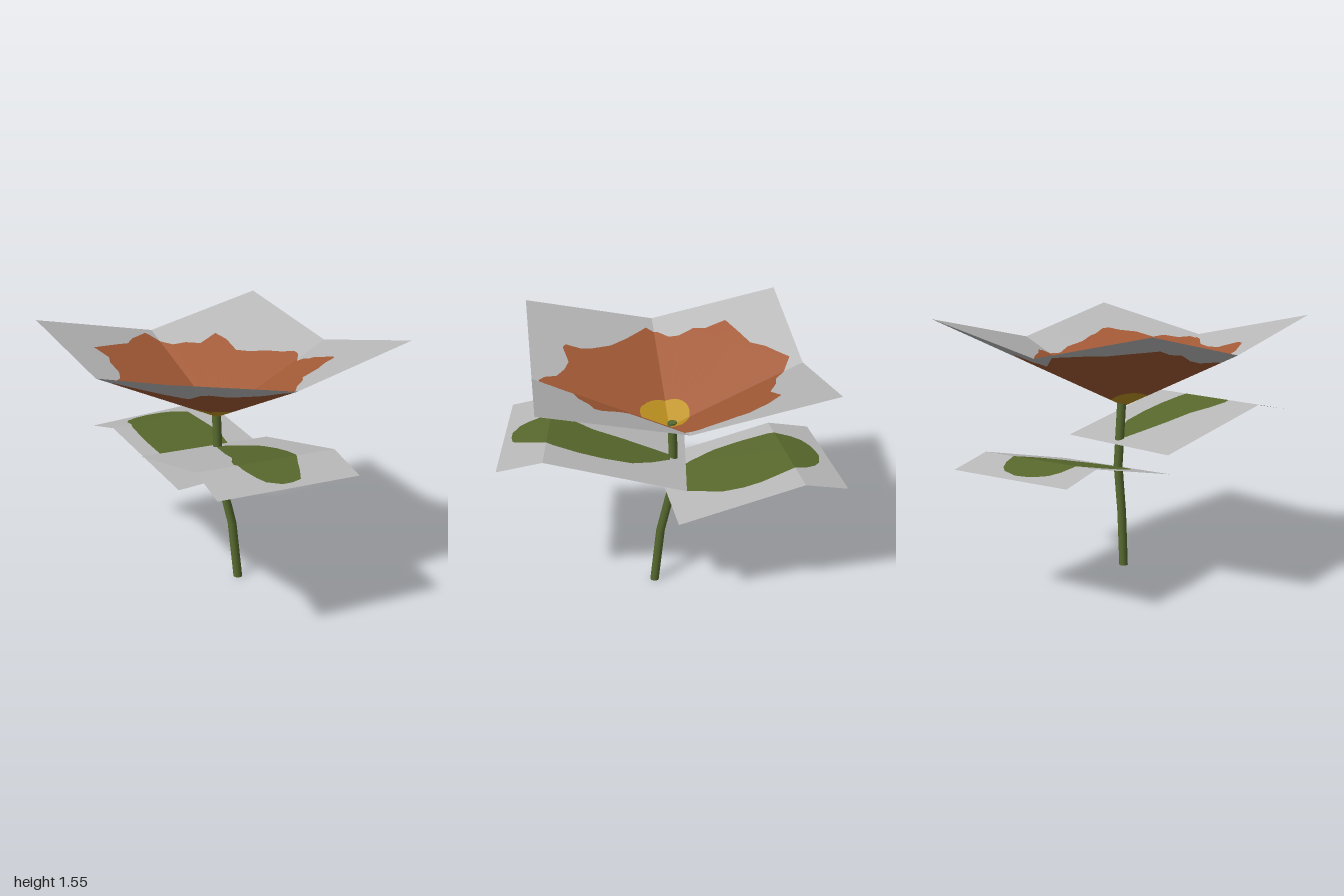
import * as THREE from 'three';

const material = (name, color, side = THREE.DoubleSide) => {
  const m = new THREE.MeshStandardMaterial({ color, side });
  m.name = name;
  return m;
};

// Turn a flat list of coordinates into [x, y] pairs
const pairs = (list) => list.reduce((out, v, i) => (i % 2 ? out[out.length - 1].push(v) : out.push([v]), out), []);
const rect = (x0, y0, x1, y1) => [[x0, y0], [x1, y0], [x1, y1], [x0, y1]];

// Distance from the origin to a star-shaped outline along an angle
function reach(outline, angle) {
  const c = Math.cos(angle), s = Math.sin(angle);
  let best = 0;
  outline.forEach(([ax, ay], i) => {
    const [bx, by] = outline[(i + 1) % outline.length];
    const ex = bx - ax, ey = by - ay;
    const det = c * ey - s * ex;
    if (Math.abs(det) < 1e-9) return;
    const r = (ax * ey - ay * ex) / det;
    const k = (ax * s - ay * c) / det;
    if (r > 0 && k > -1e-6 && k < 1 + 1e-6) best = Math.max(best, r);
  });
  return best;
}

// Every angle at which one of the outlines has a corner, plus the four axes
function cornerAngles(outlines) {
  const all = [0, 1, 2, 3].map((i) => (i * Math.PI) / 2);
  outlines.flat().forEach(([x, y]) => all.push((Math.atan2(y, x) + 2 * Math.PI) % (2 * Math.PI)));
  all.sort((a, b) => a - b);
  return all.filter((a, i) => i === 0 || a - all[i - 1] > 1e-5);
}

// A band of surface between two radius functions, laid onto a folded sheet by place(x, y)
function band(angles, inner, outer, place, normalAt) {
  const pos = [], nor = [];
  const ab = new THREE.Vector3(), ac = new THREE.Vector3();
  const tri = (pts) => {
    let [a, b, c] = pts.map(([x, y]) => place(x, y));
    ab.subVectors(b, a);
    ac.subVectors(c, a);
    let n = ab.clone().cross(ac);
    if (n.length() < 1e-9) return;
    if (n.y < 0) { [b, c] = [c, b]; n.negate(); }
    if (normalAt) n = normalAt((pts[0][0] + pts[1][0] + pts[2][0]) / 3, (pts[0][1] + pts[1][1] + pts[2][1]) / 3);
    n.normalize();
    for (const p of [a, b, c]) { pos.push(p.x, p.y, p.z); nor.push(n.x, n.y, n.z); }
  };
  angles.forEach((a0, i) => {
    const a1 = angles[(i + 1) % angles.length];
    const at = (f, a) => [Math.cos(a) * f(a), Math.sin(a) * f(a)];
    const p = at(inner, a0), q = at(outer, a0), r = at(outer, a1), s = at(inner, a1);
    tri([p, q, r]);
    tri([p, r, s]);
  });
  const g = new THREE.BufferGeometry();
  g.setAttribute('position', new THREE.Float32BufferAttribute(pos, 3));
  g.setAttribute('normal', new THREE.Float32BufferAttribute(nor, 3));
  return g;
}

const named = (name, geometry, mat) => {
  const m = new THREE.Mesh(geometry, mat);
  m.name = name;
  return m;
};

// Folded square bowl with a ragged blossom and a round centre
function makeFlower(mats) {
  const H = 0.781, cz = -0.0175, base = 1.028;
  const blossom = pairs([
    -0.08, -0.74, 0, -0.69, 0.06, -0.63, 0.14, -0.61, 0.22, -0.56, 0.35, -0.59, 0.385, -0.515, 0.39, -0.41,
    0.44, -0.32, 0.5, -0.25, 0.56, -0.15, 0.61, -0.09, 0.61, -0.05, 0.54, 0.03, 0.54, 0.1, 0.5, 0.2,
    0.49, 0.32, 0.51, 0.41, 0.49, 0.45, 0.41, 0.47, 0.32, 0.52, 0.2, 0.54, 0.16, 0.6, 0.08, 0.65,
    0.03, 0.71, -0.01, 0.725, -0.06, 0.69, -0.11, 0.62, -0.2, 0.57, -0.29, 0.54, -0.42, 0.565, -0.46, 0.545,
    -0.48, 0.4, -0.525, 0.27, -0.59, 0.17, -0.66, 0.08, -0.7, 0.03, -0.66, -0.04, -0.59, -0.1, -0.565, -0.16,
    -0.575, -0.25, -0.545, -0.32, -0.575, -0.45, -0.47, -0.49, -0.39, -0.52, -0.3, -0.55, -0.23, -0.63, -0.16, -0.68,
  ]).map(([x, z]) => [x, z - cz]);
  const centre = Array.from({ length: 28 }, (_, i) => {
    const a = (i / 28) * 2 * Math.PI;
    return [-0.04 + 0.136 * Math.cos(a), 0.02 + 0.147 * Math.sin(a)];
  });
  const fold = [[H, 0], [0, H], [-H, 0], [0, -H]];
  const square = rect(-H, -H, H, H);
  const angles = cornerAngles([blossom, centre, fold, square]);
  const [rb, rc, rf, rs] = [blossom, centre, fold, square].map((o) => (a) => reach(o, a));
  const low = (a) => Math.min(rb(a), rf(a)), high = (a) => Math.max(rb(a), rf(a));

  // Two opposite quarters fold across, the other two fold from the centre to the corner
  const near = 1.39 - base, far = 0.165;
  const place = (x, z) => {
    const a = Math.abs(x) / H, b = Math.abs(z) / H;
    const [big, small] = x * z > 0 ? [Math.min(a + b, 1), Math.max(a + b - 1, 0)] : [Math.max(a, b), Math.min(a, b)];
    return new THREE.Vector3(x, base + near * big + far * small, z + cz);
  };
  const slope = (near + far) / (2 * H);
  const normalAt = (x, z) => new THREE.Vector3(-slope * Math.sign(x), 1, -slope * Math.sign(z));
  const piece = (name, a, b, mat) => named(name, band(angles, a, b, place, normalAt), mat);

  const g = new THREE.Group();
  g.name = 'flower';
  g.add(
    piece('flowerCentre', () => 0, rc, mats.yellow),
    piece('petalsInner', rc, low, mats.orange),
    piece('petalsOuter', low, rb, mats.orange),
    piece('flowerSheetInner', rb, high, mats.grey),
    piece('flowerSheetOuter', high, rs, mats.grey),
  );
  return g;
}

// Rectangular sheet folded once across, with a green leaf shape on it.
// s runs along the outer edge, t from the outer edge towards the stem.
function makeLeaf(name, { corner, along, width, foldAt, length, heights, middle, shape }, mats) {
  const e = new THREE.Vector3(along[0], 0, along[1]).normalize();
  const p = new THREE.Vector3(-e.z, 0, e.x).multiplyScalar(Math.sign(-corner[1]));
  const place = (s, t) => {
    const u = s + middle, v = t + foldAt;
    const y = t < 0
      ? THREE.MathUtils.lerp(heights[0], heights[1], v / foldAt)
      : THREE.MathUtils.lerp(heights[1], heights[2], t / (length - foldAt));
    return new THREE.Vector3(corner[0], y, corner[1]).addScaledVector(e, u).addScaledVector(p, v);
  };
  const blade = pairs(shape).map(([s, t]) => [s - middle, t - foldAt]);
  const sheet = rect(-middle, -foldAt, width - middle, length - foldAt);
  const angles = cornerAngles([blade, sheet]);
  const rb = (a) => reach(blade, a), rs = (a) => reach(sheet, a);
  const g = new THREE.Group();
  g.name = name;
  g.add(
    named(name + 'Blade', band(angles, () => 0, rb, place), mats.leaf),
    named(name + 'Sheet', band(angles, rb, rs, place), mats.grey),
  );
  return g;
}

// Bent stem: a cylinder whose rings are moved along a path
function makeStem(mat) {
  const path = [[0.086, 0, 0.086], [0.068, 0.35, 0.045], [0.027, 0.67, -0.042], [0.005, 1.058, -0.035]];
  const geo = new THREE.CylinderGeometry(0.027, 0.027, 3, 12, 3);
  const pos = geo.attributes.position;
  for (let i = 0; i < pos.count; i++) {
    const [x, y, z] = path[Math.round(pos.getY(i) + 1.5)];
    pos.setXYZ(i, pos.getX(i) + x, y, pos.getZ(i) + z);
  }
  return named('stem', geo, mat);
}

export function createModel() {
  const mats = {
    grey: material('sheetGrey', 0xb8b8b8),
    orange: material('petalOrange', 0xa35a36),
    yellow: material('centreYellow', 0xbf9220),
    leaf: material('leafGreen', 0x57672c),
    stem: material('stemGreen', 0x576a2f, THREE.FrontSide),
  };
  const model = new THREE.Group();
  model.name = 'flowerPlant';
  model.add(
    makeStem(mats.stem),
    makeFlower(mats),
    makeLeaf('frontLeaf', {
      corner: [-0.575, 0.89], along: [0.825, 0.11], width: 0.832, foldAt: 0.265, length: 1.073,
      heights: [0.945, 1.005, 0.815], middle: 0.42,
      shape: [0.45, 0.045, 0.392, 0.045, 0.317, 0.084, 0.285, 0.135, 0.25, 0.22, 0.235, 0.3, 0.27, 0.4, 0.33, 0.52,
        0.37, 0.7, 0.42, 0.88, 0.45, 0.98, 0.51, 0.98, 0.58, 0.88, 0.64, 0.76, 0.65, 0.6, 0.64, 0.45, 0.61, 0.3,
        0.568, 0.2, 0.542, 0.13, 0.509, 0.06],
    }, mats),
    makeLeaf('backLeaf', {
      corner: [-0.36, -0.96], along: [0.775, -0.045], width: 0.776, foldAt: 0.26, length: 1.0,
      heights: [0.765, 0.82, 0.645], middle: 0.36,
      shape: [0.388, 0.051, 0.33, 0.055, 0.272, 0.067, 0.203, 0.105, 0.163, 0.162, 0.12, 0.3, 0.11, 0.47, 0.115, 0.64,
        0.16, 0.8, 0.215, 0.91, 0.34, 0.95, 0.465, 0.89, 0.585, 0.7, 0.61, 0.58, 0.61, 0.47, 0.58, 0.31,
        0.557, 0.182, 0.525, 0.12, 0.483, 0.082],
    }, mats),
  );
  return model;
}
